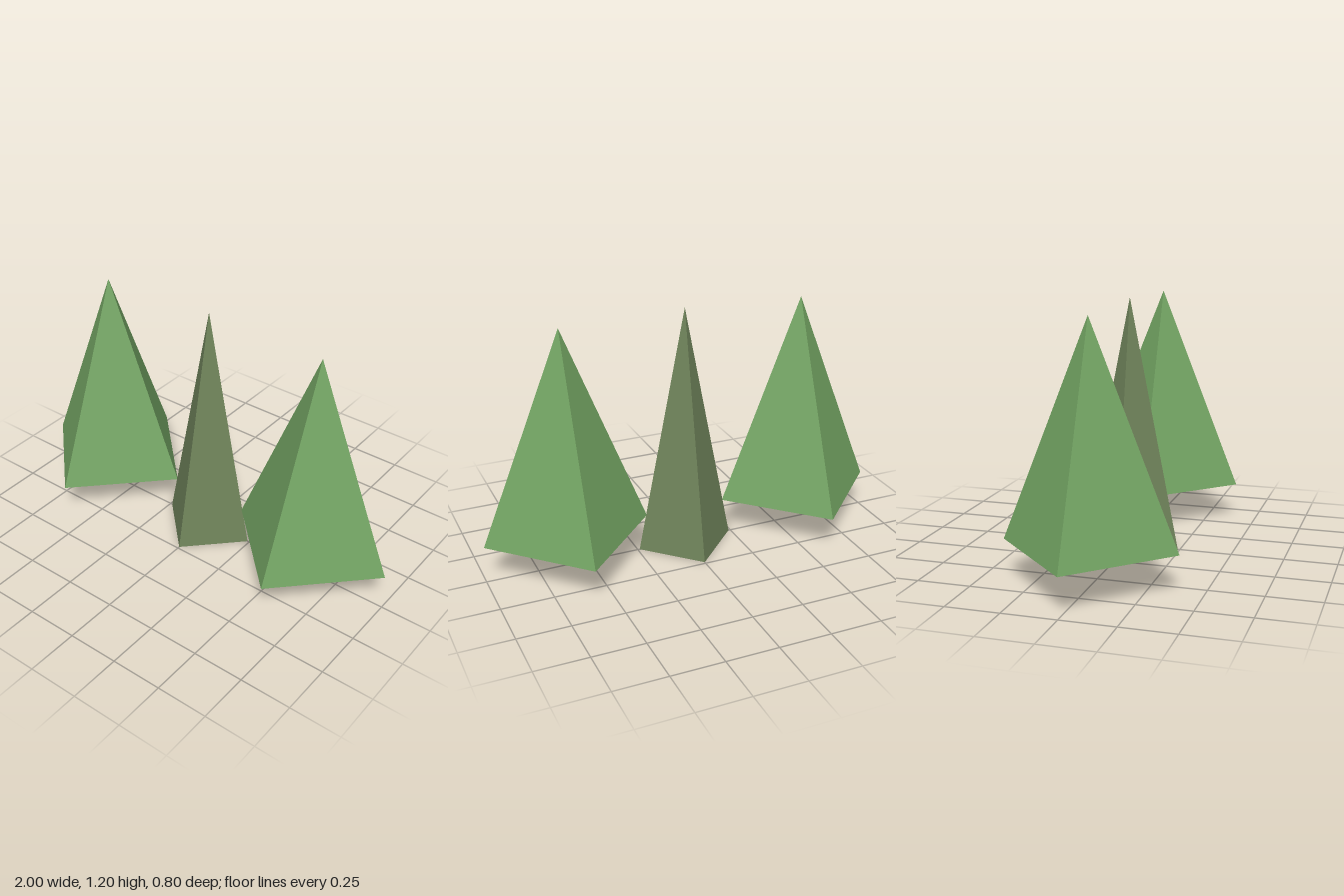
import * as THREE from 'three';

const leafGreen = new THREE.MeshStandardMaterial({ color: 0x72a362 });
leafGreen.name = 'leafGreen';
leafGreen.flatShading = true;
const oliveGreen = new THREE.MeshStandardMaterial({ color: 0x6f835a });
oliveGreen.name = 'oliveGreen';
oliveGreen.flatShading = true;

// Four-sided pyramid with its corners on the x and z axes
function pyramid(name, radius, height, x, baseY, material) {
  const geometry = new THREE.ConeGeometry(radius, height, 4);
  geometry.translate(0, height / 2, 0);
  const mesh = new THREE.Mesh(geometry, material);
  mesh.name = name;
  mesh.position.set(x, baseY, 0);
  return mesh;
}

export function createModel() {
  const model = new THREE.Group();
  model.name = 'pyramidTrio';

  // Slim centre spire standing on the ground
  model.add(pyramid('centreSpire', 0.24, 1.2, 0, 0, oliveGreen));

  // Wider raised pyramids on either side
  for (const [name, side] of [['leftPyramid', 1], ['rightPyramid', -1]]) {
    model.add(pyramid(name, 0.4, 1, side * 0.6, 0.18, leafGreen));
  }
  return model;
}
